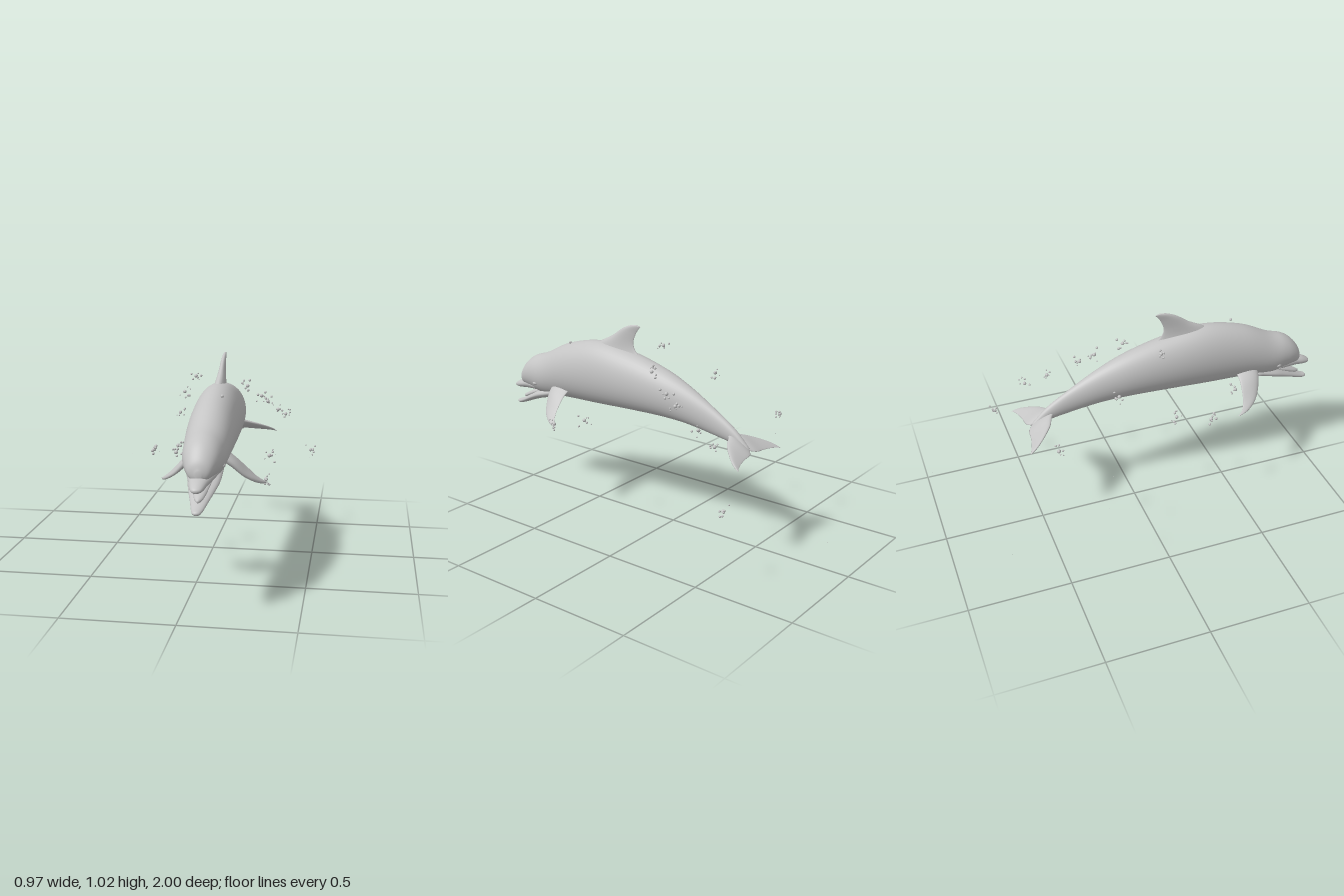
import * as THREE from 'three';

const CX = 0.083; // the animal swims slightly to its left of the origin
const V = (x, y, z) => new THREE.Vector3(x, y, z);
const skin = new THREE.MeshStandardMaterial({ color: 0xc4c4c4 });
skin.name = 'grey skin';

// Skin a list of closed rings, cap both ends, and face the surface outward
function loft(rings) {
  const n = rings[0].length, pts = rings.flat(), tris = [];
  for (let i = 0; i < rings.length - 1; i++) {
    for (let j = 0; j < n; j++) {
      const a = i * n + j, b = i * n + (j + 1) % n;
      tris.push([a, b, b + n], [a, b + n, a + n]);
    }
  }
  [[rings[0], 0, true], [rings.at(-1), (rings.length - 1) * n, false]].forEach(([ring, o, first]) => {
    const c = pts.length;
    pts.push(ring.reduce((s, p) => s.add(p), V(0, 0, 0)).divideScalar(n));
    for (let j = 0; j < n; j++) {
      const a = o + j, b = o + (j + 1) % n;
      tris.push(first ? [c, b, a] : [c, a, b]);
    }
  });
  const mid = pts.reduce((s, p) => s.add(p), V(0, 0, 0)).divideScalar(pts.length);
  const rel = pts.map(p => p.clone().sub(mid));
  const volume = tris.reduce((s, [a, b, c]) => s + rel[a].dot(rel[b].clone().cross(rel[c])), 0);
  if (volume < 0) tris.forEach(t => t.reverse());
  const g = new THREE.BufferGeometry().setFromPoints(pts);
  g.setIndex(tris.flat());
  g.computeVertexNormals();
  return g;
}

const smooth = list => new THREE.CatmullRomCurve3(list, false, 'catmullrom', 0.5);

// Rounded tube along z from keys [z, top, bottom, halfWidth]
function hull(keys, steps, sides) {
  const zs = smooth(keys.map(k => V(k[0], 0, 0)));
  const dims = smooth(keys.map(k => V(k[1], k[2], k[3])));
  const rings = [];
  for (let i = 0; i <= steps; i++) {
    const z = zs.getPoint(i / steps).x, d = dims.getPoint(i / steps);
    const ring = [];
    for (let j = 0; j < sides; j++) {
      const a = j / sides * Math.PI * 2;
      ring.push(V(Math.cos(a) * d.z, (d.x + d.y) / 2 + Math.sin(a) * (d.x - d.y) / 2, z));
    }
    rings.push(ring);
  }
  return loft(rings);
}

// Streamlined fin from keys [leading point, trailing point, half thickness]
function fin(keys, normal, side = 1) {
  const lead = smooth(keys.map(k => V(...k[0]))), trail = smooth(keys.map(k => V(...k[1])));
  const thick = smooth(keys.map(k => V(k[2], 0, 0)));
  const steps = 24, sides = 20, rings = [];
  for (let i = 0; i <= steps; i++) {
    const t = i / steps, l = lead.getPoint(t), r = trail.getPoint(t), h = thick.getPoint(t).x;
    const ring = [];
    for (let j = 0; j < sides; j++) {
      const a = j / sides * Math.PI * 2;
      const p = l.clone().lerp(r, (1 - Math.cos(a)) / 2)
        .addScaledVector(normal, h * Math.sin(a) * (1 + 0.5 * Math.cos(a)));
      p.x *= side;
      ring.push(p);
    }
    rings.push(ring);
  }
  return loft(rings);
}

export function createModel() {
  const model = new THREE.Group();
  const dolphin = new THREE.Group();
  dolphin.name = 'dolphin';
  dolphin.position.x = CX;
  model.add(dolphin);
  const add = (name, geometry, parent = dolphin) => {
    const m = new THREE.Mesh(geometry, skin);
    m.name = name;
    parent.add(m);
    return m;
  };

  // Body from tail stock to forehead
  add('body', hull([
    [-0.5, 0.535, 0.515, 0.01], [-0.42, 0.612, 0.54, 0.02], [-0.3, 0.69, 0.562, 0.032],
    [-0.15, 0.772, 0.585, 0.056], [0, 0.832, 0.592, 0.08], [0.2, 0.882, 0.587, 0.098],
    [0.4, 0.905, 0.578, 0.106], [0.6, 0.862, 0.572, 0.104], [0.75, 0.79, 0.56, 0.095],
    [0.83, 0.763, 0.572, 0.084], [0.88, 0.73, 0.582, 0.07], [0.92, 0.68, 0.588, 0.047],
    [0.936, 0.635, 0.605, 0.012],
  ], 72, 40));

  // Open beak
  add('upperJaw', hull([
    [0.8, 0.64, 0.575, 0.07], [0.87, 0.635, 0.57, 0.058], [0.92, 0.615, 0.565, 0.042],
    [0.96, 0.602, 0.558, 0.033], [0.99, 0.585, 0.56, 0.022], [1, 0.576, 0.566, 0.008],
  ], 24, 24));
  add('lowerJaw', hull([
    [0.68, 0.62, 0.562, 0.07], [0.78, 0.59, 0.535, 0.07], [0.85, 0.555, 0.512, 0.055],
    [0.91, 0.522, 0.488, 0.038], [0.96, 0.496, 0.47, 0.025], [0.985, 0.487, 0.467, 0.017],
    [0.993, 0.48, 0.473, 0.006],
  ], 24, 24));
  add('tongue', hull([
    [0.78, 0.598, 0.57, 0.045], [0.86, 0.566, 0.535, 0.034], [0.92, 0.535, 0.51, 0.02],
    [0.945, 0.52, 0.508, 0.006],
  ], 16, 16));

  // Dorsal fin
  add('dorsalFin', fin([
    [[0, 0.82, 0.5], [0, 0.82, 0.06], 0.04], [[0, 0.9, 0.4], [0, 0.872, 0.15], 0.023],
    [[0, 0.945, 0.315], [0, 0.92, 0.18], 0.015], [[0, 0.99, 0.25], [0, 0.97, 0.167], 0.01],
    [[0, 1.013, 0.2], [0, 1.0, 0.147], 0.007], [[0, 1.02, 0.165], [0, 1.013, 0.135], 0.003],
  ], V(1, 0, 0)));

  // Paired flippers, tail flukes and eyes
  for (const [label, s] of [['left', 1], ['right', -1]]) {
    add(label + 'Flipper', fin([
      [[0.06, 0.635, 0.67], [0.06, 0.64, 0.55], 0.022], [[0.105, 0.6, 0.662], [0.11, 0.605, 0.555], 0.016],
      [[0.15, 0.552, 0.64], [0.155, 0.565, 0.55], 0.011], [[0.19, 0.52, 0.605], [0.19, 0.53, 0.542], 0.008],
      [[0.222, 0.498, 0.555], [0.222, 0.503, 0.52], 0.005], [[0.238, 0.49, 0.505], [0.236, 0.491, 0.498], 0.002],
    ], V(0.65, 0.75, 0), s));
    add(label + 'Fluke', fin([
      [[0, 0.585, -0.37], [0, 0.525, -0.505], 0.016], [[0.03, 0.578, -0.405], [0.03, 0.517, -0.525], 0.012],
      [[0.08, 0.562, -0.43], [0.08, 0.513, -0.53], 0.009], [[0.13, 0.54, -0.475], [0.13, 0.508, -0.54], 0.006],
      [[0.167, 0.517, -0.52], [0.167, 0.502, -0.553], 0.004], [[0.182, 0.498, -0.556], [0.182, 0.496, -0.562], 0.001],
    ], V(0, 0.9, -0.43), s));
    const eye = add(label + 'Eye', new THREE.SphereGeometry(0.013, 16, 12));
    eye.position.set(s * 0.08, 0.63, 0.785);
    eye.scale.set(0.8, 0.8, 1.2);
  }

  // Clusters of bubbles trailing along the flanks
  let seed = 7;
  const rnd = () => (seed = (seed * 16807) % 2147483647) / 2147483647;
  const bubbles = new THREE.Group();
  bubbles.name = 'bubbles';
  model.add(bubbles);
  const ball = new THREE.SphereGeometry(1, 12, 8);
  const bubble = (x, y, z, r) => {
    const b = add('bubble', ball, bubbles);
    b.position.set(x, y, z);
    b.scale.setScalar(r);
  };
  const clusters = [
    [0.45, 0.385, -0.61], [0.32, 0.61, -0.47], [0.29, 0.655, -0.36], [0.25, 0.725, -0.2],
    [0.225, 0.765, -0.13], [0.17, 0.835, 0], [0.105, 0.86, 0.53], [0.315, 0.505, 0.51],
    [0.31, 0.565, 0.31], [-0.09, 0.61, 0.5], [-0.145, 0.565, 0.165], [-0.23, 0.575, 0.31],
    [-0.25, 0.605, -0.46], [-0.165, 0.775, -0.135], [-0.065, 0.895, 0.11],
  ];
  for (const [x, y, z] of clusters) {
    bubble(x, y, z, 0.009);
    for (let i = 0; i < 6; i++) {
      const off = () => (rnd() - 0.5) * 0.055;
      bubble(x + off(), y + off(), z + off(), 0.003 + rnd() * 0.004);
    }
  }
  // Tiny stray bubbles far from the body
  for (const [x, y, z] of [[0.484, 0.51, 0.1], [-0.484, 0.4, -0.3], [-0.32, 0.44, -0.22],
    [0.22, 0.26, -0.998], [-0.22, 0.002, -0.72]]) bubble(x, y, z, 0.0015);

  return model;
}
